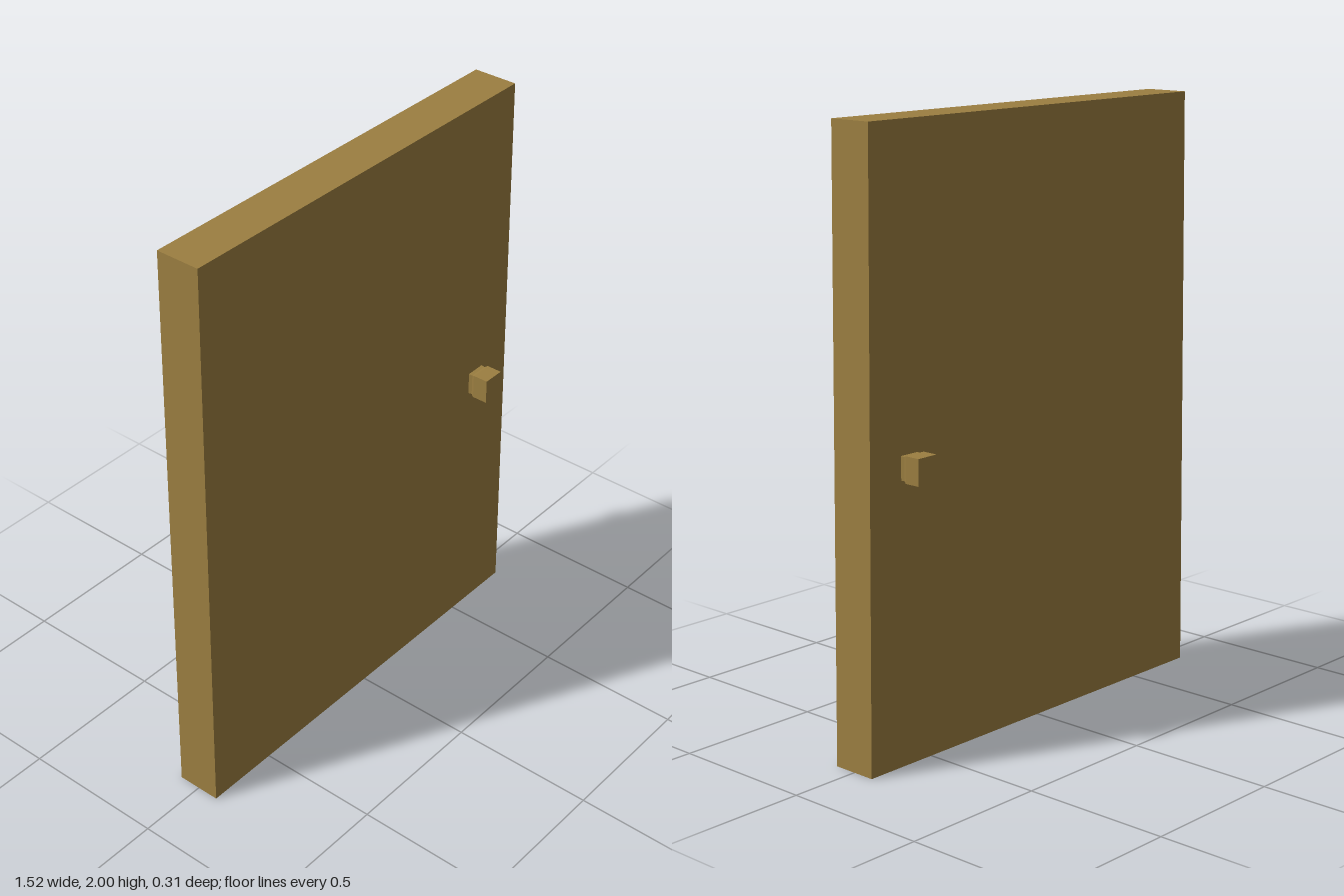
import * as THREE from 'three';

export function createModel() {
  const door = new THREE.Group();
  door.name = 'door';
  const wood = new THREE.MeshStandardMaterial({ color: 0x9c7f41, flatShading: true });

  // Slab, slightly narrower at the top
  const slabGeometry = new THREE.BoxGeometry(1.52, 2, 0.154);
  const p = slabGeometry.attributes.position;
  for (let i = 0; i < p.count; i++) {
    if (p.getY(i) > 0) p.setX(i, Math.sign(p.getX(i)) * 0.733);
  }
  slabGeometry.computeVertexNormals();
  const slab = new THREE.Mesh(slabGeometry, wood);
  slab.name = 'slab';
  slab.position.y = 1;
  door.add(slab);

  // Square knob on a short neck: [half width, distance from the slab's middle]
  const profile = [[0.036, 0.07], [0.034, 0.09], [0.039, 0.1], [0.039, 0.154], [0, 0.154]]
    .map(([half, d]) => new THREE.Vector2(half * Math.SQRT2, d));
  const knobGeometry = new THREE.LatheGeometry(profile, 4, Math.PI / 4);
  knobGeometry.rotateX(Math.PI / 2);
  knobGeometry.scale(1, 1.1, 1);

  // One knob on each side
  for (const [name, turn] of [['frontKnob', 0], ['backKnob', Math.PI]]) {
    const knob = new THREE.Mesh(knobGeometry, wood);
    knob.name = name;
    knob.position.set(0.582, 0.953, 0);
    knob.rotation.y = turn;
    door.add(knob);
  }
  return door;
}
